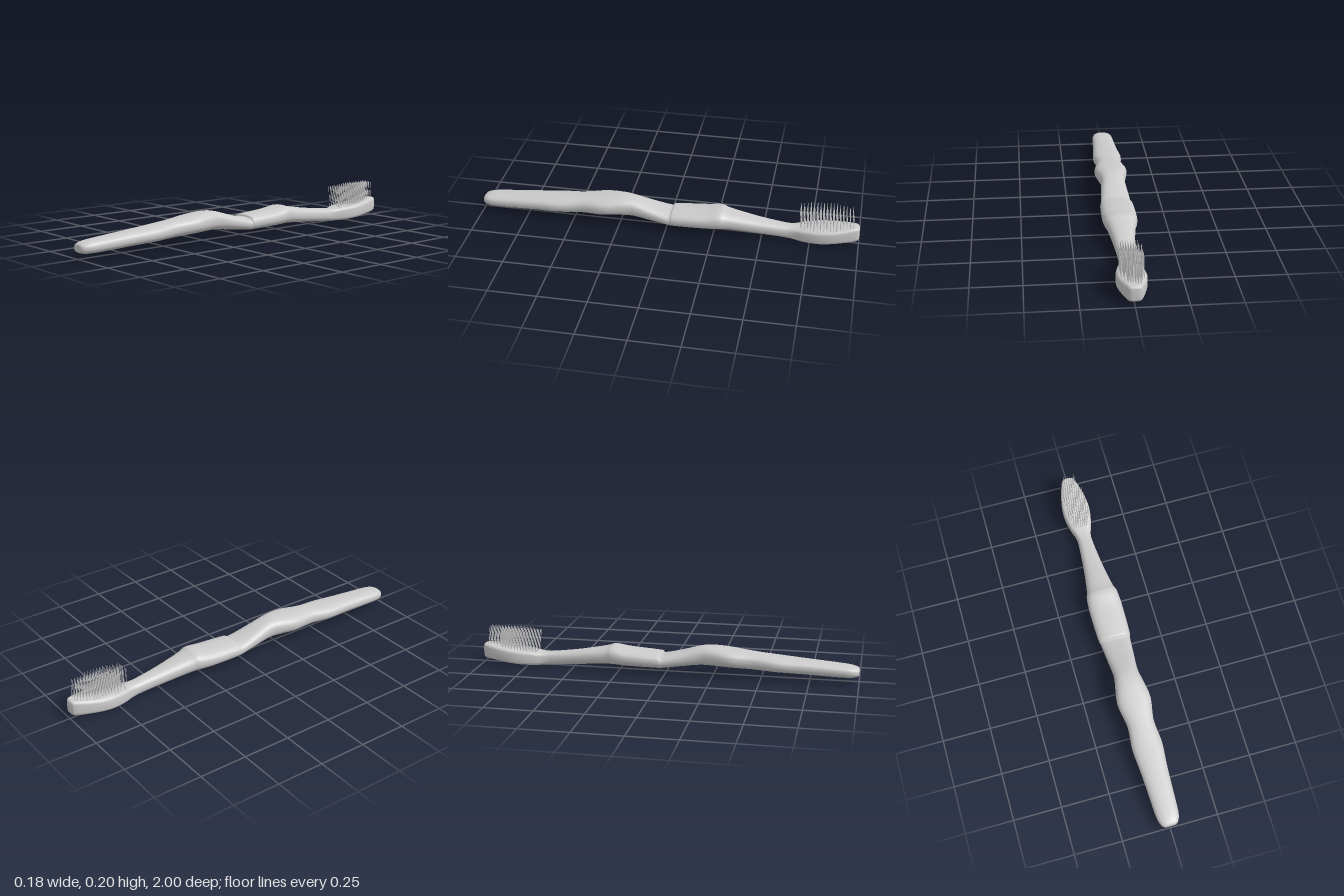
import * as THREE from 'three';

// Cross-sections of the body: z, half width, bottom, top
const SECTIONS = [
  [1.0, 0.03, 0.038, 0.07],
  [0.985, 0.045, 0.03, 0.08],
  [0.94, 0.058, 0.026, 0.089],
  [0.82, 0.064, 0.029, 0.099],
  [0.7, 0.07, 0.034, 0.108],
  [0.58, 0.079, 0.038, 0.117],
  [0.46, 0.07, 0.044, 0.13],
  [0.34, 0.088, 0.05, 0.144],
  [0.25, 0.076, 0.053, 0.152],
  [0.18, 0.065, 0.052, 0.147],
  [0.08, 0.072, 0.04, 0.118],
  [-0.015, 0.08, 0.028, 0.095],
  [-0.03, 0.084, 0.027, 0.105],
  [-0.07, 0.087, 0.027, 0.109],
  [-0.2, 0.089, 0.029, 0.119],
  [-0.28, 0.084, 0.032, 0.131],
  [-0.33, 0.071, 0.03, 0.119],
  [-0.47, 0.052, 0.018, 0.094],
  [-0.6, 0.041, 0.007, 0.077],
  [-0.66, 0.041, 0.003, 0.072],
  [-0.72, 0.059, 0.003, 0.078],
  [-0.8, 0.073, 0.007, 0.086],
  [-0.88, 0.067, 0.015, 0.095],
  [-0.98, 0.038, 0.026, 0.107],
  [-1.0, 0.018, 0.038, 0.098],
];

const material = new THREE.MeshStandardMaterial({ color: 0xcccccc, side: THREE.DoubleSide });

function spline(pick) {
  const points = SECTIONS.map((s) => new THREE.Vector3(...pick(s)));
  return new THREE.CatmullRomCurve3(points, false, 'catmullrom', 0.5);
}

// Rounded body lofted through smooth rings, oval on the handle and boxier on the head
function bodyGeometry(steps = 5, sides = 28) {
  const plan = spline((s) => [s[0], s[1], 0]);
  const side = spline((s) => [s[2], s[3], 0]);
  const count = (SECTIONS.length - 1) * steps;
  const rings = [];
  for (let i = 0; i <= count; i++) {
    const p = plan.getPoint(i / count), q = side.getPoint(i / count);
    const n = 2.5 + 2 * THREE.MathUtils.smoothstep(-p.x, 0.6, 0.76);
    rings.push({ z: p.x, w: p.y, n, y: (q.x + q.y) / 2, h: (q.y - q.x) / 2 });
  }
  // Close both ends
  rings.unshift({ ...rings[0], w: 0, h: 0 });
  rings.push({ ...rings[rings.length - 1], w: 0, h: 0 });

  const positions = [], index = [];
  const power = (v, n) => Math.sign(v) * Math.pow(Math.abs(v), 2 / n);
  rings.forEach((r, i) => {
    for (let j = 0; j < sides; j++) {
      const a = (j / sides) * Math.PI * 2;
      positions.push(r.w * power(Math.cos(a), r.n), r.y + r.h * power(Math.sin(a), r.n), r.z);
      if (i === rings.length - 1) continue;
      const a0 = i * sides + j, b0 = i * sides + ((j + 1) % sides);
      index.push(a0, a0 + sides, b0, b0, a0 + sides, b0 + sides);
    }
  });
  const geometry = new THREE.BufferGeometry();
  geometry.setAttribute('position', new THREE.Float32BufferAttribute(positions, 3));
  geometry.setIndex(index);
  geometry.computeVertexNormals();
  return geometry;
}

// Value of one section column at a given z
function sectionAt(z, column) {
  const i = SECTIONS.findIndex((s) => s[0] <= z);
  const a = SECTIONS[i - 1], b = SECTIONS[i];
  return THREE.MathUtils.mapLinear(z, a[0], b[0], a[column], b[column]);
}

// Fine upright bristles, leaning square to the sloping head
function makeBristles() {
  const group = new THREE.Group();
  group.name = 'bristles';
  const geometry = new THREE.CylinderGeometry(0.0011, 0.0011, 1, 5);
  const columns = 10, rows = 17, up = new THREE.Vector3(0, 1, 0);
  for (let c = 0; c < columns; c++) {
    const x = -0.052 + (0.104 * c) / (columns - 1);
    for (let r = 0; r < rows; r++) {
      const z = -0.705 - (0.265 * r) / (rows - 1);
      if (Math.abs(x) > sectionAt(z, 1) - 0.012) continue;
      const foot = new THREE.Vector3(x, sectionAt(z, 3) - 0.012, z);
      const tip = new THREE.Vector3(x, 0.187 + (-0.705 - z) * 0.05, z + 0.012);
      const bristle = new THREE.Mesh(geometry, material);
      bristle.name = 'bristle';
      const axis = tip.clone().sub(foot);
      bristle.scale.y = axis.length();
      bristle.quaternion.setFromUnitVectors(up, axis.normalize());
      bristle.position.addVectors(foot, tip).multiplyScalar(0.5);
      group.add(bristle);
    }
  }
  return group;
}

export function createModel() {
  const model = new THREE.Group();
  model.name = 'toothbrush';
  const body = new THREE.Mesh(bodyGeometry(), material);
  body.name = 'handleAndHead';
  model.add(body, makeBristles());
  return model;
}
